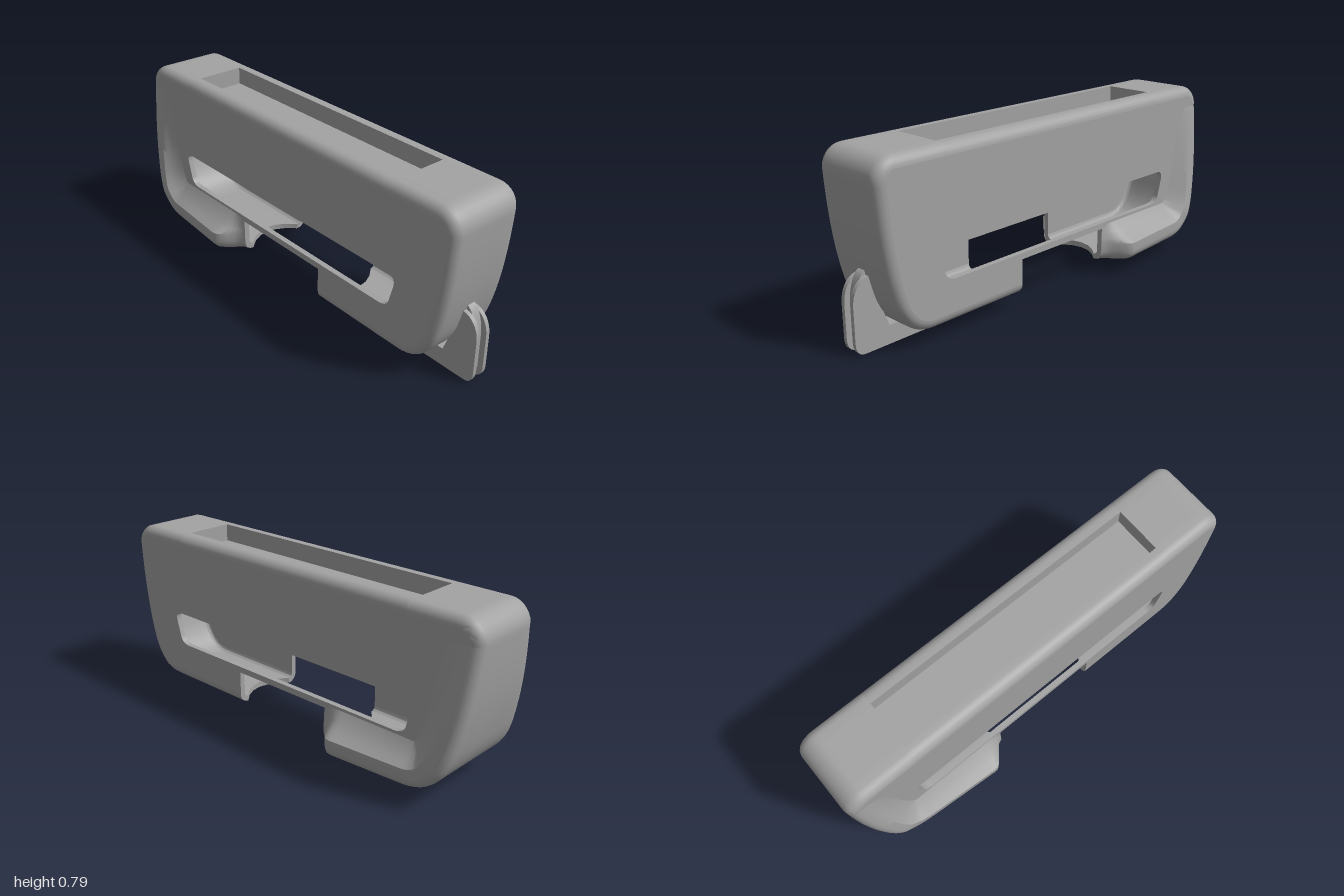
import * as THREE from 'three';
import { toCreasedNormals } from 'three/addons/utils/BufferGeometryUtils.js';

const HALF = 0.18, BEVEL = 0.045, WALL = 0.025;
const grey = new THREE.MeshStandardMaterial({ color: 0xa3a3a3, side: THREE.DoubleSide });
grey.name = 'plainGrey';

function part(group, name, geometry, crease = 0.6) {
  const mesh = new THREE.Mesh(toCreasedNormals(geometry, crease), grey);
  mesh.name = name;
  group.add(mesh);
  return mesh;
}

// Sweeps a section of [x, inset] points along a side-view path of (z, y) points.
function sweep(path, section, closed) {
  const pos = [], idx = [];
  let n = 0;
  path.forEach((p, i) => {
    const a = path[Math.max(i - 1, 0)], b = path[Math.min(i + 1, path.length - 1)];
    const t = b.clone().sub(a).normalize();
    const pts = section(p);
    n = pts.length;
    for (const [x, d] of pts) pos.push(x, p.y + t.x * d, p.x - t.y * d);
  });
  const quad = (a, b, c, d) => idx.push(a, b, c, a, c, d);
  for (let i = 0; i < path.length - 1; i++)
    for (let j = 0; j < (closed ? n : n - 1); j++) {
      const k = (j + 1) % n;
      quad(i * n + j, i * n + k, (i + 1) * n + k, (i + 1) * n + j);
    }
  // end caps join the outer half of the section to its inner half
  if (closed) for (const o of [0, (path.length - 1) * n])
    for (let j = 0; j < n / 2 - 1; j++) quad(o + j, o + j + 1, o + n - 2 - j, o + n - 1 - j);
  const g = new THREE.BufferGeometry();
  g.setAttribute('position', new THREE.Float32BufferAttribute(pos, 3));
  g.setIndex(idx);
  return g;
}

// Inward offset of a path
function inset(path, d) {
  return path.map((p, i) => {
    const a = path[Math.max(i - 1, 0)], b = path[Math.min(i + 1, path.length - 1)];
    const t = b.clone().sub(a).normalize();
    return new THREE.Vector2(p.x - t.y * d, p.y + t.x * d);
  });
}

// Side-view shape (z, y) extruded across x, centred on cx
function plate(shape, width, cx, curveSegments = 10) {
  const g = new THREE.ExtrudeGeometry(shape, { depth: width, bevelEnabled: false, curveSegments });
  return g.rotateY(-Math.PI / 2).translate(cx + width / 2, 0, 0);
}

// Rounded edge: outer arc (r = BEVEL) or inner arc
function arc(r) {
  const out = [];
  for (let i = 0; i <= 6; i++) {
    const a = (i / 6) * Math.PI / 2;
    out.push([HALF - BEVEL + r * Math.cos(a), BEVEL - r * Math.sin(a)]);
  }
  return out;
}

// Curved edge of the floor at each foot
function scoopFloor(g) {
  const p = g.attributes.position;
  for (let i = 0; i < p.count; i++) {
    const x = p.getX(i), z = p.getZ(i);
    if (p.getY(i) > 0.15 || Math.abs(x) > 0.135) continue;
    const edge = (z > 0 ? 0.25 : 0.27) + 0.07 * (1 - (x / 0.135) ** 2);
    if (Math.abs(z) < edge) p.setZ(i, Math.sign(z) * edge);
  }
  return g;
}

function keelShape(front, top) {
  const s = new THREE.Shape();
  s.moveTo(0.43, 0);
  s.lineTo(front - 0.045, 0);
  s.quadraticCurveTo(front, 0, front, 0.06);
  s.lineTo(front, 0.2);
  s.bezierCurveTo(front, 0.25, front - 0.02, top - 0.01, 0.925, top);
  s.lineTo(0.84, 0.08);
  s.lineTo(0.43, 0.08);
  return s;
}

export function createModel() {
  const model = new THREE.Group();
  model.name = 'handleHousing';

  // Side outline: front foot up to the tray, then tray back down to the rear foot
  const front = new THREE.Path().moveTo(0.25, 0.065).lineTo(0.72, 0.065)
    .bezierCurveTo(0.81, 0.065, 0.865, 0.12, 0.9, 0.22)
    .bezierCurveTo(0.94, 0.35, 0.96, 0.5, 0.97, 0.7)
    .bezierCurveTo(0.97, 0.75, 0.93, 0.79, 0.88, 0.79)
    .lineTo(0.64, 0.79).getSpacedPoints(80);
  const rear = new THREE.Path().moveTo(-0.67, 0.79).lineTo(-0.91, 0.79)
    .bezierCurveTo(-0.95, 0.79, -1, 0.75, -1, 0.7)
    .bezierCurveTo(-0.99, 0.5, -0.97, 0.38, -0.935, 0.25)
    .bezierCurveTo(-0.9, 0.13, -0.84, 0.065, -0.73, 0.065)
    .lineTo(-0.27, 0.065).getSpacedPoints(80);

  // Hollow outer band with rounded edges
  const flip = (pts) => pts.map(([x, d]) => [-x, d]).reverse();
  const across = (d) => [0.09, 0.045, 0, -0.045, -0.09].map((x) => [x, d]);
  const outer = arc(BEVEL), inner = arc(BEVEL - WALL);
  const full = [...outer, ...across(0), ...flip(outer),
    ...[...inner, ...across(WALL), ...flip(inner)].reverse()];
  part(model, 'frontBand', scoopFloor(sweep(front, () => full, true)));
  part(model, 'rearBand', scoopFloor(sweep(rear, () => full, true)));
  const rim = [...outer, [0.11, 0], [0.11, WALL], ...[...inner].reverse()];
  const topLine = [new THREE.Vector2(0.64, 0.79), new THREE.Vector2(-0.67, 0.79)];

  // Side wall with the long hand slot
  const wall = new THREE.Shape([...inset(front, BEVEL), ...inset(rear, BEVEL),
    new THREE.Vector2(-0.27, 0.222), new THREE.Vector2(0.25, 0.222)]);
  const slot = new THREE.Path();
  slot.moveTo(0.61, 0.25);
  slot.quadraticCurveTo(0.66, 0.25, 0.67, 0.285);
  slot.lineTo(0.692, 0.365);
  slot.quadraticCurveTo(0.7, 0.405, 0.66, 0.405);
  slot.lineTo(-0.68, 0.405);
  slot.quadraticCurveTo(-0.725, 0.405, -0.717, 0.365);
  slot.lineTo(-0.695, 0.285);
  slot.quadraticCurveTo(-0.685, 0.25, -0.635, 0.25);
  slot.closePath();
  wall.holes.push(slot);

  // Flared band around the rear corner and rear foot
  const flarePath = rear.filter((p) => p.y < 0.73);
  const flareWidth = (p) => {
    if (p.x < -0.85) return 0.175 + 0.075 * Math.min(1, (0.73 - p.y) / 0.58);
    if (p.x < -0.38) return 0.25 + 0.033 * (p.x + 0.85) / 0.47;
    const t = Math.min(1, (p.x + 0.38) / 0.11);
    return 0.283 - 0.1 * t * t * (3 - 2 * t);
  };
  const flare = (p) => {
    const w = flareWidth(p), pts = [[0.13, 0]];
    for (let i = 0; i <= 5; i++) {
      const a = (1 - i / 5) * Math.PI / 2;
      pts.push([w - BEVEL + BEVEL * Math.cos(a), BEVEL - BEVEL * Math.sin(a)]);
    }
    const g = Math.max(0, w - 0.178);
    pts.push([w, 0.085], [w - 0.3 * g, 0.105], [w - 0.7 * g, 0.135], [0.178, 0.175]);
    return pts;
  };

  for (const s of [1, -1]) {
    const side = s > 0 ? 'left' : 'right';
    part(model, side + 'Wall', plate(wall, WALL, s * (HALF - WALL / 2)));
    part(model, side + 'TopRim', sweep(topLine, () => rim.map(([x, d]) => [s * x, d]), true));
    part(model, side + 'RearFlare',
      sweep(flarePath, (p) => flare(p).map(([x, d]) => [s * x, d]), false));
    // tray long side
    part(model, side + 'TraySide',
      new THREE.BoxGeometry(0.01, 0.085, 1.31).translate(s * 0.115, 0.745, -0.015));
    // keel cheek
    part(model, side + 'KeelCheek', plate(keelShape(1, 0.31), 0.018, s * 0.028));
  }

  // Recessed tray in the top
  part(model, 'trayFloor', new THREE.BoxGeometry(0.24, 0.015, 1.33).translate(0, 0.703, -0.015));
  for (const z of [0.645, -0.675])
    part(model, 'trayEnd', new THREE.BoxGeometry(0.24, 0.083, 0.01).translate(0, 0.743, z));

  // Grooved centre of the keel
  part(model, 'keelCore', plate(keelShape(0.975, 0.33), 0.038, 0));
  return model;
}
